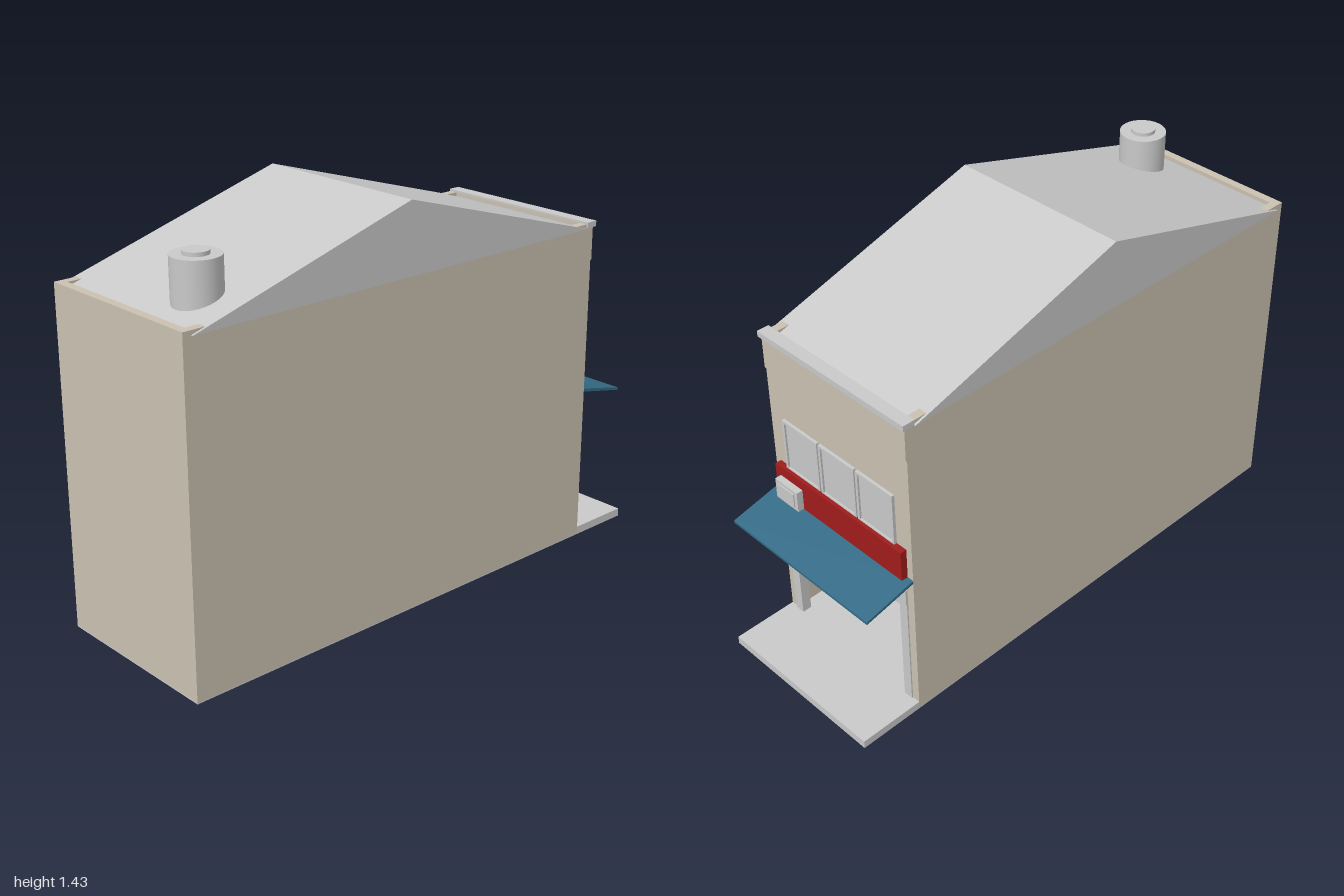
import * as THREE from 'three';

export function createModel() {
  const group = new THREE.Group();
  group.name = 'shophouse';
  const mat = (name, color) => {
    const m = new THREE.MeshStandardMaterial({ color });
    m.name = name;
    return m;
  };
  const beige = mat('beige plaster', 0xcac1b1);
  const grey = mat('light grey', 0xc9c9c9);
  const teal = mat('teal awning', 0x336b86);
  const red = mat('red sign', 0xa01c1c);

  const add = (name, geometry, material) => {
    const mesh = new THREE.Mesh(geometry, material);
    mesh.name = name;
    group.add(mesh);
    return mesh;
  };
  // Box given by its limits on each axis
  const box = (name, material, [x0, x1], [y0, y1], [z0, z1]) => {
    const mesh = add(name, new THREE.BoxGeometry(x1 - x0, y1 - y0, z1 - z0), material);
    mesh.position.set((x0 + x1) / 2, (y0 + y1) / 2, (z0 + z1) / 2);
    return mesh;
  };
  // Side-view outline (z, y) extruded across the width
  const across = (name, material, points, halfWidth) => {
    const shape = new THREE.Shape(points.map(([z, y]) => new THREE.Vector2(-z, y)));
    const geo = new THREE.ExtrudeGeometry(shape, { depth: 2 * halfWidth, bevelEnabled: false });
    geo.translate(0, 0, -halfWidth);
    geo.rotateY(Math.PI / 2);
    return add(name, geo, material);
  };

  const W = 0.33, IN = 0.3, H = 1.195, SHOP = -0.76;

  // Hollow shell
  box('baseSlab', grey, [-W, W], [0, 0.005], [SHOP, 1]);
  box('shopFloor', grey, [-IN, IN], [0.005, 0.03], [SHOP, 0.97]);
  for (const s of [-1, 1]) {
    const xs = s > 0 ? [IN, W] : [-W, -IN];
    box('sideWall', beige, xs, [0.005, H], [SHOP, 1]);
  }
  box('plainEndWall', beige, [-IN, IN], [0.005, H], [0.97, 1]);
  box('shopUpperWall', beige, [-IN, IN], [0.5, H], [SHOP, SHOP + 0.03]);
  box('upperFloor', grey, [-IN, IN], [0.54, 0.57], [SHOP + 0.03, 0.97]);
  box('pavement', grey, [-W, W], [0, 0.03], [-1, SHOP]);

  // Gabled roof with its ridge across the house
  across('roof', grey, [[0.97, 1.18], [-0.73, 1.18], [0.12, 1.428]], 0.338);

  // Shop-side trim
  box('cornice', grey, [-0.336, 0.336], [1.182, 1.202], [-0.775, -0.73]);
  box('fasciaBand', beige, [-W, W], [1.06, 1.182], [-0.765, SHOP]);

  // Three framed windows
  for (let i = -1; i <= 1; i++) {
    const x = i * 0.177, r = 0.085, b = 0.01;
    box('windowPane', grey, [x - r + b, x + r - b], [0.7, 0.88], [-0.764, SHOP]);
    for (const s of [-1, 1]) {
      const c = x + s * (r - b / 2);
      box('windowJamb', grey, [c - b / 2, c + b / 2], [0.69, 0.89], [-0.771, SHOP]);
      const y = 0.79 + s * 0.095;
      box('windowRail', grey, [x - r + b, x + r - b], [y - 0.005, y + 0.005], [-0.771, SHOP]);
    }
  }

  // Sign, air conditioner and awning
  box('signBoard', red, [-0.305, 0.305], [0.58, 0.695], [-0.784, SHOP]);
  box('airConditioner', grey, [0.17, 0.28], [0.582, 0.66], [-0.808, -0.784]);
  box('airConditionerGrille', grey, [0.185, 0.265], [0.594, 0.648], [-0.812, -0.808]);
  across('awning', teal, [[SHOP, 0.568], [-0.953, 0.526], [-0.953, 0.536], [SHOP, 0.58]], W);

  // Shop opening
  box('shutterBox', grey, [-IN, IN], [0.46, 0.52], [-0.768, -0.7]);
  for (const s of [-1, 1]) {
    const xs = s > 0 ? [0.265, IN] : [-IN, -0.265];
    box('doorPost', grey, xs, [0.03, 0.46], [-0.765, -0.73]);
  }
  box('counter', grey, [-0.2, 0.2], [0.03, 0.16], [-0.5, -0.39]);

  // Rooftop water tank
  const tank = add('waterTank', new THREE.CylinderGeometry(0.081, 0.081, 0.16, 32), grey);
  tank.position.set(0.163, 1.275, 0.82);
  const lid = add('tankLid', new THREE.CylinderGeometry(0.043, 0.043, 0.014, 32), grey);
  lid.position.set(0.163, 1.361, 0.82);

  return group;
}
